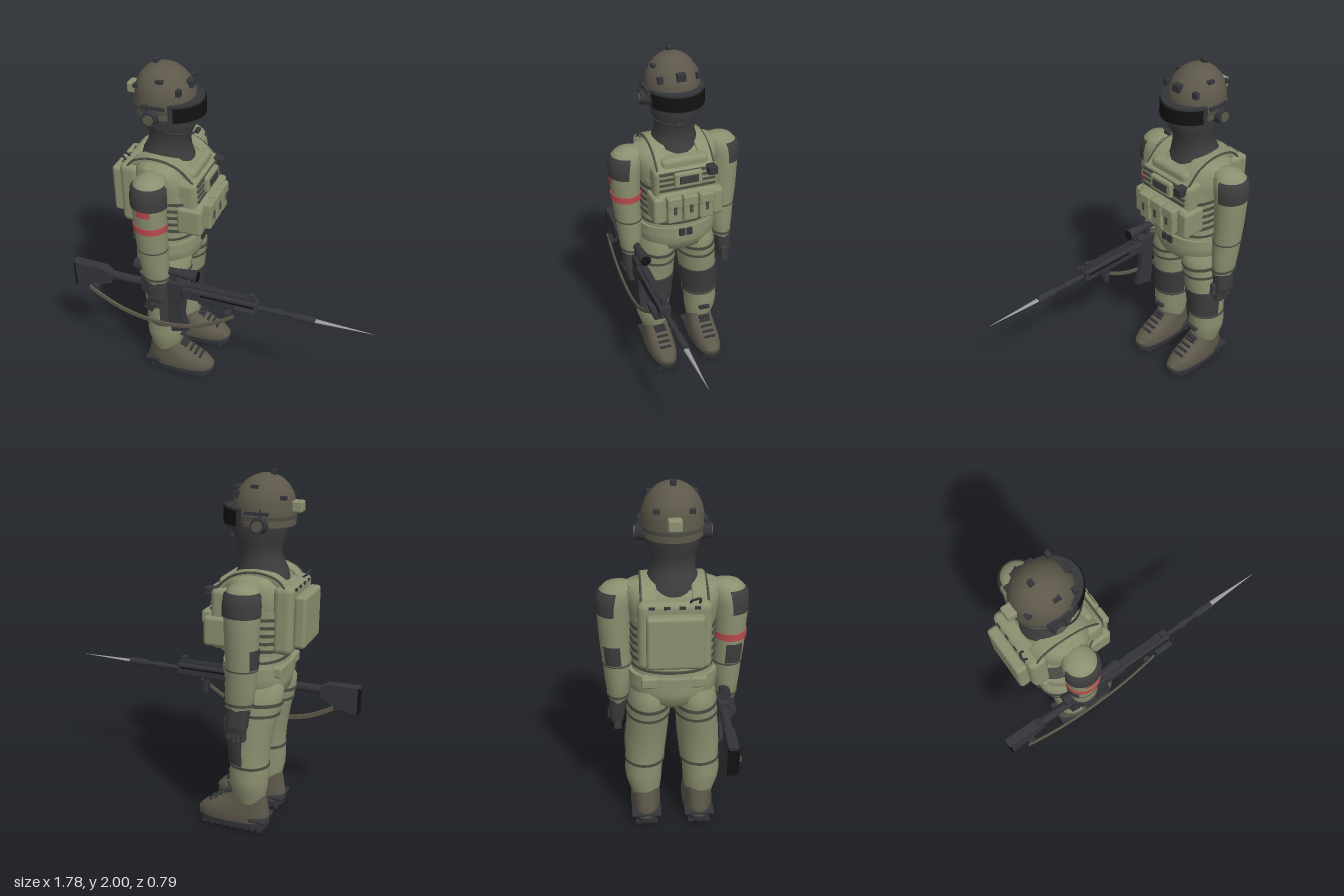
import * as THREE from 'three';
import { toCreasedNormals } from 'three/addons/utils/BufferGeometryUtils.js';
import { RoundedBoxGeometry } from 'three/addons/geometries/RoundedBoxGeometry.js';

const flat = (name, color) => Object.assign(new THREE.MeshStandardMaterial({ color, side: THREE.DoubleSide }), { name });
const PI = Math.PI;

export function createModel() {
  const root = new THREE.Group();
  root.name = 'soldier';
  const olive = flat('olive cloth', 0x8c9070), brown = flat('helmet brown', 0x5d584a), charcoal = flat('charcoal cloth', 0x3d3d3e),
    gun = flat('gunmetal', 0x343539), black = flat('black lens', 0x121213), red = flat('red band', 0xb64a4c),
    steel = flat('steel', 0x9b9b9d), dark = flat('dark webbing', 0x4a4b42);
  let parent = root;
  const group = name => { parent = new THREE.Group(); parent.name = name; root.add(parent); };
  const add = (name, mat, geo, x = 0, y = 0, z = 0) => {
    const m = new THREE.Mesh(geo, mat);
    m.name = name;
    m.position.set(x, y, z);
    parent.add(m);
    return m;
  };
  // Box given by its bounds, rounded when r > 0
  const box = (name, mat, x0, x1, y0, y1, z0, z1, r = 0) => add(name, mat,
    r ? new RoundedBoxGeometry(x1 - x0, y1 - y0, Math.abs(z1 - z0), 2, r) : new THREE.BoxGeometry(x1 - x0, y1 - y0, Math.abs(z1 - z0)),
    (x0 + x1) / 2, (y0 + y1) / 2, (z0 + z1) / 2);
  // Skin over rising rings [y, cx, cz, rx, rz]; p < 1 makes them boxier, a0..a1 is the arc
  const loft = (name, mat, rings, { p = 1, a0 = 0, a1 = 2 * PI, n = 28, cap = false } = {}) => {
    const pos = [], idx = [], pow = v => Math.sign(v) * Math.abs(v) ** p, w = n + 1;
    rings.forEach(([y, cx, cz, rx, rz]) => {
      for (let i = 0; i <= n; i++) {
        const t = a0 + (a1 - a0) * i / n;
        pos.push(cx + rx * pow(Math.cos(t)), y, cz + rz * pow(Math.sin(t)));
      }
    });
    for (let j = 0; j < rings.length - 1; j++) for (let i = 0; i < n; i++) {
      const a = j * w + i;
      idx.push(a, a + w, a + 1, a + 1, a + w, a + w + 1);
    }
    if (cap) [0, rings.length - 1].forEach((j, top) => {
      const c = pos.length / 3;
      pos.push(rings[j][1], rings[j][0], rings[j][2]);
      for (let i = 0; i < n; i++) idx.push(c, j * w + i + (top ? 1 : 0), j * w + i + (top ? 0 : 1));
    });
    const g = new THREE.BufferGeometry();
    g.setAttribute('position', new THREE.Float32BufferAttribute(pos, 3));
    g.setIndex(idx);
    return add(name, mat, toCreasedNormals(g, 0.8));
  };
  // Raised band around a limb
  const band = (name, mat, y0, y1, cx, cz, rx, rz, o = {}, t = 0.025) => loft(name, mat,
    [[y0, cx, cz, rx - t, rz - t], [y0, cx, cz, rx, rz], [y1, cx, cz, rx, rz], [y1, cx, cz, rx - t, rz - t]], o);
  const tube = (name, mat, pts, r) => add(name, mat,
    new THREE.TubeGeometry(new THREE.CatmullRomCurve3(pts.map(q => new THREE.Vector3(...q))), 24, r, 8));
  // Cylinder lying along x
  const rod = (name, mat, x0, x1, y, z, r0, r1 = r0, n = 16) => {
    const m = add(name, mat, new THREE.CylinderGeometry(r1, r0, x1 - x0, n), (x0 + x1) / 2, y, z);
    m.rotation.z = -PI / 2;
    return m;
  };
  // Side profile in x, y with thickness d, centred on z
  const profile = (name, mat, pts, z, d) => add(name, mat, new THREE.ExtrudeGeometry(
    new THREE.Shape(pts.map(q => new THREE.Vector2(...q))),
    { depth: d - 0.008, bevelSize: 0.004, bevelThickness: 0.004, bevelSegments: 1 }), 0, 0, z - d / 2 + 0.004);

  // Head and helmet
  group('head');
  loft('balaclava', charcoal, [[1.43, -.385, 0, .15, .15], [1.48, -.388, 0, .135, .133], [1.53, -.378, 0, .118, .118], [1.58, -.368, 0, .114, .113],
    [1.63, -.365, 0, .133, .125], [1.7, -.368, 0, .15, .144], [1.78, -.375, 0, .15, .145]]);
  const dome = [[1.72, -.4, 0, .15, .148], [1.72, -.395, 0, .16, .154], [1.77, -.388, 0, .168, .157]];
  for (let i = 1; i <= 9; i++) {
    const a = i / 9 * PI / 2;
    dome.push([1.8 + .182 * Math.sin(a), -.385 - .01 * Math.sin(a), 0, .166 * Math.cos(a) + 1e-4, .156 * Math.cos(a) + 1e-4]);
  }
  loft('helmet', brown, dome, { n: 36 });
  band('helmetStrap', dark, 1.755, 1.775, -.388, 0, .172, .161);
  band('goggleFrame', gun, 1.705, 1.812, -.375, 0, .2, .166, { a0: -.4 * PI, a1: .4 * PI }, .05);
  band('goggleLens', black, 1.72, 1.8, -.375, 0, .208, .17, { a0: -.36 * PI, a1: .36 * PI }, .02);
  box('topMount', gun, -.446, -.418, 1.965, 2, -.015, .015, .004);
  box('frontMount', gun, -.262, -.225, 1.87, 1.912, -.026, .026, .004);
  box('rearLamp', olive, -.598, -.54, 1.79, 1.85, -.035, .035, .01);
  for (const s of [-1, 1]) {
    add('earCup', gun, new THREE.CylinderGeometry(.04, .046, .045, 20), -.41, 1.735, s * .165).rotation.x = s * PI / 2;
    add('earCupCover', brown, new THREE.CylinderGeometry(.028, .028, .008, 16), -.41, 1.735, s * .19).rotation.x = PI / 2;
    box('helmetRail', gun, -.46, -.33, 1.785, 1.802, s * .15, s * .168);
    box('sideMount', gun, -.39, -.35, 1.915, 1.932, s * .095, s * .125);
    box('sideClip', gun, -.28, -.255, 1.86, 1.895, s * .095, s * .125);
    box('rearClip', gun, -.53, -.5, 1.86, 1.88, s * .07, s * .1);
    tube('antenna', gun, [[-.43, 1.73, s * .18], [-.425, 1.78, s * .178], [-.42, 1.82, s * .175]], .004);
  }
  tube('microphoneBoom', gun, [[-.4, 1.71, .18], [-.3, 1.66, .16], [-.22, 1.64, .09], [-.205, 1.63, .03]], .005);
  box('microphone', gun, -.215, -.19, 1.62, 1.642, .005, .045, .006);

  // Torso and belt
  group('torso');
  loft('shirt', olive, [[.77, -.39, 0, .1, .09], [.82, -.385, 0, .165, .19], [.88, -.38, 0, .182, .233], [.95, -.378, 0, .178, .225], [1.03, -.37, 0, .158, .205],
    [1.2, -.37, 0, .18, .215], [1.34, -.375, 0, .185, .24], [1.42, -.38, 0, .165, .25], [1.455, -.385, 0, .125, .235], [1.475, -.388, 0, .09, .15]], { p: .9, cap: true });
  band('belt', olive, .92, .98, -.38, 0, .19, .236, { p: .9 });
  band('beltEdge', dark, 1.0, 1.012, -.373, 0, .172, .216, { p: .9 });
  for (const z of [-.022, .022]) box('buckle', gun, -.2, -.182, .926, .974, z - .018, z + .018, .004);
  for (const s of [-1, 1]) box('beltPouch', olive, -.56, -.5, .925, .985, s * .08, s * .17, .012);

  // Plate carrier
  group('plateCarrier');
  band('cummerbund', olive, 1.05, 1.29, -.37, 0, .2, .218, { p: .75 }, .03);
  for (let i = 0; i < 5; i++) band('cummerbundStrap', dark, 1.07 + i * .043, 1.086 + i * .043, -.37, 0, .206, .225, { p: .75 });
  box('frontPlate', olive, -.3, -.155, 1.05, 1.39, -.19, .19, .035);
  box('frontBib', olive, -.31, -.18, 1.3, 1.44, -.14, .14, .03);
  box('lowerPanel', olive, -.25, -.13, 1.06, 1.25, -.185, .185, .03);
  box('backPlate', olive, -.61, -.5, 1.06, 1.43, -.185, .185, .035);
  box('backPack', olive, -.672, -.605, 1.095, 1.38, -.145, .145, .02);
  for (let i = 0; i < 4; i++) {
    box('webbing', dark, -.16, -.148, 1.262 + i * .033, 1.276 + i * .033, -.165, .165);
    box('backClip', gun, -.612, -.6, 1.4, 1.414, -.13 + i * .075, -.1 + i * .075);
  }
  box('chestPanel', olive, -.16, -.125, 1.285, 1.375, -.082, .082, .01);
  box('chestBadge', charcoal, -.126, -.12, 1.31, 1.355, -.055, .055);
  box('chestRadio', gun, -.19, -.115, 1.335, 1.385, -.17, -.115, .008);
  for (const z of [-.095, 0, .095]) {
    box('pouch', olive, -.17, -.095, 1.08, 1.235, z - .042, z + .042, .012);
    box('pouchFlap', olive, -.16, -.088, 1.175, 1.243, z - .044, z + .044, .01);
    box('pouchTab', dark, -.09, -.084, 1.14, 1.19, z - .009, z + .009);
  }
  for (const s of [-1, 1]) {
    box('sidePouch', olive, -.27, -.125, 1.07, 1.235, s * .14, s * .21, .02);
    const strap = new THREE.CatmullRomCurve3([[-.575, 1.4], [-.52, 1.46], [-.4, 1.495], [-.27, 1.465], [-.17, 1.37]].map(q => new THREE.Vector3(q[0], q[1], 0)));
    const pts = strap.getPoints(20).map(q => [q.x, q.y]);
    profile('shoulderStrap', olive, [...pts, ...pts.map(q => [q[0] * .96 - .015, q[1] - .025]).reverse()], s * .125, .075);
    tube('strapPiping', dark, [[-.57, 1.41, s * .168], [-.52, 1.462, s * .166], [-.4, 1.49, s * .165], [-.27, 1.46, s * .166], [-.17, 1.37, s * .168]], .006);
  }
  tube('radioLoop', gun, [[-.58, 1.41, .12], [-.615, 1.46, .12], [-.6, 1.44, .08], [-.57, 1.41, .08]], .006);

  // Arms and gloves
  for (const s of [-1, 1]) {
    group(s > 0 ? 'rightArm' : 'leftArm');
    const z = s * .3, out = d => ({ a0: (s > 0 ? 0 : PI) + d, a1: (s > 0 ? PI : 2 * PI) - d });
    loft('sleeve', olive, [[.77, -.368, s * .29, .066, .05], [.8, -.37, s * .29, .076, .056], [.9, -.375, s * .288, .083, .07], [1, -.38, s * .29, .086, .076],
      [1.1, -.38, s * .298, .09, .08], [1.25, -.38, s * .3, .095, .087], [1.35, -.38, s * .297, .101, .094], [1.41, -.38, s * .287, .095, .093],
      [1.445, -.38, s * .272, .07, .075], [1.46, -.38, s * .26, .03, .035]], { cap: true });
    loft('shoulderPatch', charcoal, [[1.295, -.38, z, .095, .086], [1.297, -.38, z, .104, .094], [1.35, -.38, s * .298, .106, .097],
      [1.405, -.38, s * .289, .101, .098], [1.422, -.38, s * .284, .088, .089]], out(.02));
    const back = (PI - s * .25), half = .55;
    loft('elbowPad', charcoal, [[1.015, -.38, s * .292, .092, .081], [1.07, -.38, s * .296, .096, .084], [1.125, -.38, s * .299, .096, .085]], { a0: back - half, a1: back + half });
    band('wristCuff', dark, .8, .815, -.37, s * .29, .08, .061);
    band('sleeveSeam', dark, 1.0, 1.008, -.38, s * .29, .089, .079);
    if (s > 0) {
      band('armBand', red, 1.145, 1.182, -.38, z, .097, .088);
      loft('armPatch', red, [[1.258, -.38, z, .1, .092], [1.298, -.38, z, .103, .094]], { a0: PI / 2 - .4, a1: PI / 2 + .4 });
    }
    loft('glove', charcoal, [[.64, -.36, s * .3, .05, .036], [.68, -.36, s * .3, .062, .044], [.74, -.365, s * .295, .062, .046], [.785, -.368, s * .29, .068, .051]], { p: .7, cap: true });
    for (let i = 0; i < 4; i++) box('finger', charcoal, -.412 + i * .028, -.386 + i * .028, .575 + (i % 3 ? 0 : .015), .66, s * .275, s * .318, .01);
    box('thumb', charcoal, -.315, -.282, .63, .715, s * .265, s * .3, .012);
    box('knuckleGuard', gun, -.4, -.325, .66, .69, s * .335, s * .35, .006);
  }

  // Legs and boots
  for (const s of [-1, 1]) {
    group(s > 0 ? 'rightLeg' : 'leftLeg');
    loft('trouser', olive, [[.17, -.39, s * .15, .085, .074], [.21, -.39, s * .152, .092, .084], [.27, -.388, s * .158, .106, .098], [.33, -.388, s * .16, .109, .103],
      [.42, -.386, s * .15, .109, .105], [.52, -.384, s * .146, .118, .113], [.65, -.385, s * .134, .14, .114], [.76, -.392, s * .126, .16, .116], [.85, -.392, s * .118, .168, .108], [.9, -.39, s * .11, .14, .09]]);
    loft('kneePad', charcoal, [[.412, -.386, s * .15, .108, .104], [.415, -.386, s * .15, .116, .111], [.51, -.384, s * .147, .124, .119], [.592, -.384, s * .139, .135, .12], [.597, -.384, s * .139, .125, .112]],
      { a0: -.48 * PI, a1: .48 * PI });
    band('upperThighStrap', dark, .765, .783, -.392, s * .125, .167, .12);
    band('thighStrap', dark, .705, .72, -.389, s * .13, .156, .12);
    band('kneeStrap', dark, .395, .41, -.386, s * .151, .114, .11);
    for (const y of [.205, .285]) {
      box('laceKnot', gun, -.288, -.262, y, y + .022, s * .15 - .035, s * .15 + .035, .006);
      tube('laceEnd', gun, [[-.28, y + .01, s * .15], [-.262, y + .03, s * .14], [-.255, y + .04, s * .13]], .005);
    }
    const bz = s * .148;
    loft('boot', brown, [[.03, -.3, bz, .2, .076], [.075, -.297, bz, .21, .085], [.11, -.31, bz, .194, .083], [.14, -.335, bz, .163, .079],
      [.17, -.362, bz, .13, .077], [.2, -.385, bz, .1, .076], [.235, -.39, bz, .09, .073]], { p: .85, cap: true });
    loft('sole', gun, [[.015, -.297, bz, .196, .074], [.02, -.297, bz, .206, .082], [.05, -.297, bz, .209, .085], [.052, -.297, bz, .2, .076]], { p: .8, cap: true });
    box('heelTab', gun, -.51, -.41, .065, .085, bz - .083, bz + .083, .008);
    for (let i = 0; i < 9; i++) for (const k of [-1, 0, 1])
      box('cleat', gun, -.48 + i * .041, -.455 + i * .041, 0, .02, bz + k * .045 - .015, bz + k * .045 + .015);
    for (let i = 0; i < 4; i++) box('lace', gun, -.262 + i * .03, -.25 + i * .03, .195 - i * .021, .207 - i * .021, bz - .035, bz + .035);
  }

  // Rifle pointing forward along x
  group('rifle');
  const gz = .272;
  profile('stock', gun, [[-.89, .77], [-.7, .765], [-.665, .742], [-.665, .675], [-.72, .65], [-.85, .61], [-.878, .61]], gz, .055);
  box('buttPad', black, -.893, -.882, .61, .77, gz - .03, gz + .03, .005);
  rod('bufferTube', gun, -.68, -.43, .722, gz, .025);
  profile('receiver', gun, [[-.46, .765], [-.44, .785], [-.2, .785], [-.2, .69], [-.24, .64], [-.33, .63], [-.42, .66], [-.46, .69]], gz, .06);
  profile('grip', gun, [[-.41, .66], [-.36, .66], [-.415, .525], [-.462, .545]], gz, .042);
  profile('magazine', gun, [[-.3, .65], [-.225, .65], [-.22, .56], [-.19, .44], [-.29, .41], [-.305, .53]], gz, .04);
  box('handguard', gun, -.22, .232, .69, .765, gz - .034, gz + .034, .012);
  box('rail', gun, -.3, .225, .765, .775, gz - .016, gz + .016);
  for (let i = 0; i < 22; i++) box('railTooth', gun, -.28 + i * .023, -.268 + i * .023, .774, .785, gz - .017, gz + .017);
  for (const s of [-1, 1]) box('sideSlot', black, -.1, .21, .735, .745, gz + s * .033, gz + s * .037);
  box('frontSight', gun, .18, .21, .77, .808, gz - .014, gz + .014, .005);
  rod('barrel', gun, .22, .45, .724, gz, .014);
  rod('gasBlock', gun, .32, .37, .724, gz, .02);
  rod('muzzleBrake', gun, .44, .56, .724, gz, .022);
  rod('bayonet', steel, .55, .885, .724, gz, .016, .001, 8).scale.x = .5;
  rod('scopeTube', gun, -.46, -.2, .845, gz, .022);
  rod('scopeFront', gun, -.24, -.125, .845, gz, .024, .036);
  rod('scopeEye', gun, -.505, -.43, .845, gz, .032, .028);
  rod('scopeLens', black, -.126, -.122, .845, gz, .03);
  add('scopeDial', gun, new THREE.CylinderGeometry(.018, .018, .045, 14), -.33, .865, gz);
  for (const x of [-.4, -.27]) box('scopeMount', gun, x - .016, x + .016, .78, .84, gz - .018, gz + .018);
  box('laserUnit', gun, .11, .225, .705, .74, gz + .04, gz + .072, .008);
  box('laserMount', gun, .15, .18, .715, .73, gz + .03, gz + .045);
  box('foreGrip', gun, .035, .07, .585, .7, gz - .016, gz + .016, .01).rotation.z = .12;
  const sling = new THREE.CatmullRomCurve3([[-.79, .625], [-.74, .59], [-.58, .51], [-.35, .472], [-.15, .505], [0, .58], [.1, .65]].map(q => new THREE.Vector3(q[0], q[1], 0)));
  const sp = sling.getPoints(30).map(q => [q.x, q.y]);
  profile('sling', brown, [...sp, ...sp.map(q => [q[0] + .006, q[1] + .022]).reverse()], gz + .05, .012);
  for (const [x, y] of [[-.76, .62], [.06, .64]]) box('slingClip', gun, x - .02, x + .02, y - .02, y + .03, gz, gz + .05, .006);

  return root;
}
